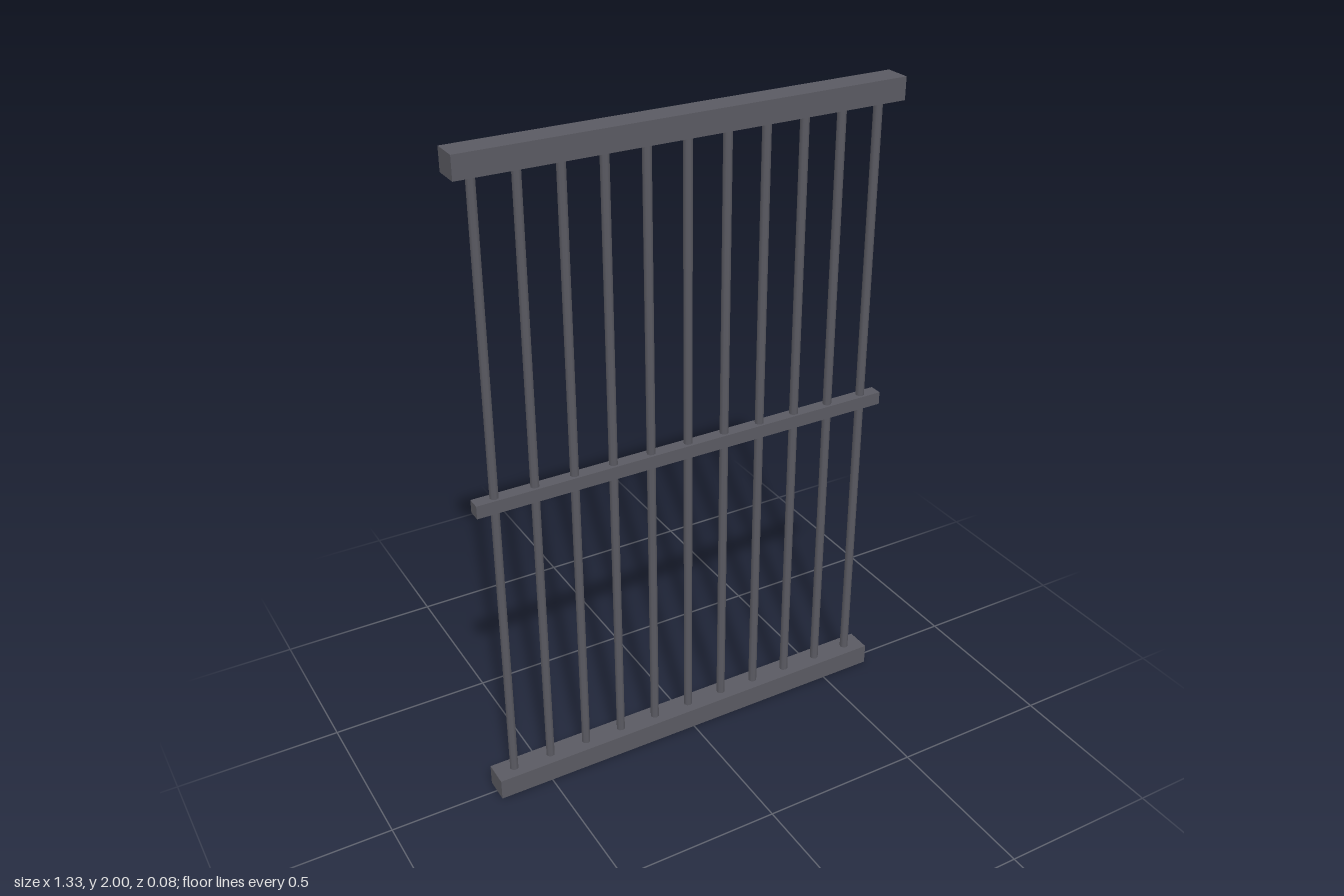
import * as THREE from 'three';

export function createModel() {
  const group = new THREE.Group();
  const iron = new THREE.MeshStandardMaterial({ color: 0x5a5a62 });
  iron.name = 'dark iron';

  const width = 1.333, railHeight = 0.066;

  function add(name, geometry, x, y) {
    const mesh = new THREE.Mesh(geometry, iron);
    mesh.name = name;
    mesh.position.set(x, y, 0);
    group.add(mesh);
  }

  // Heavy rails at top and bottom, a thin one across the middle
  const rail = new THREE.BoxGeometry(width, railHeight, 0.08);
  add('bottomRail', rail, 0, railHeight / 2);
  add('topRail', rail, 0, 2 - railHeight / 2);
  add('middleRail', new THREE.BoxGeometry(width, 0.04, 0.04), 0, 1);

  // Evenly spaced round bars, ends sunk into the rails
  const count = 11, spacing = width / count;
  const bar = new THREE.CylinderGeometry(0.0133, 0.0133, 2 - railHeight, 8);
  for (let i = 0; i < count; i++) {
    add('bar' + (i + 1), bar, (i - (count - 1) / 2) * spacing, 1);
  }

  return group;
}
